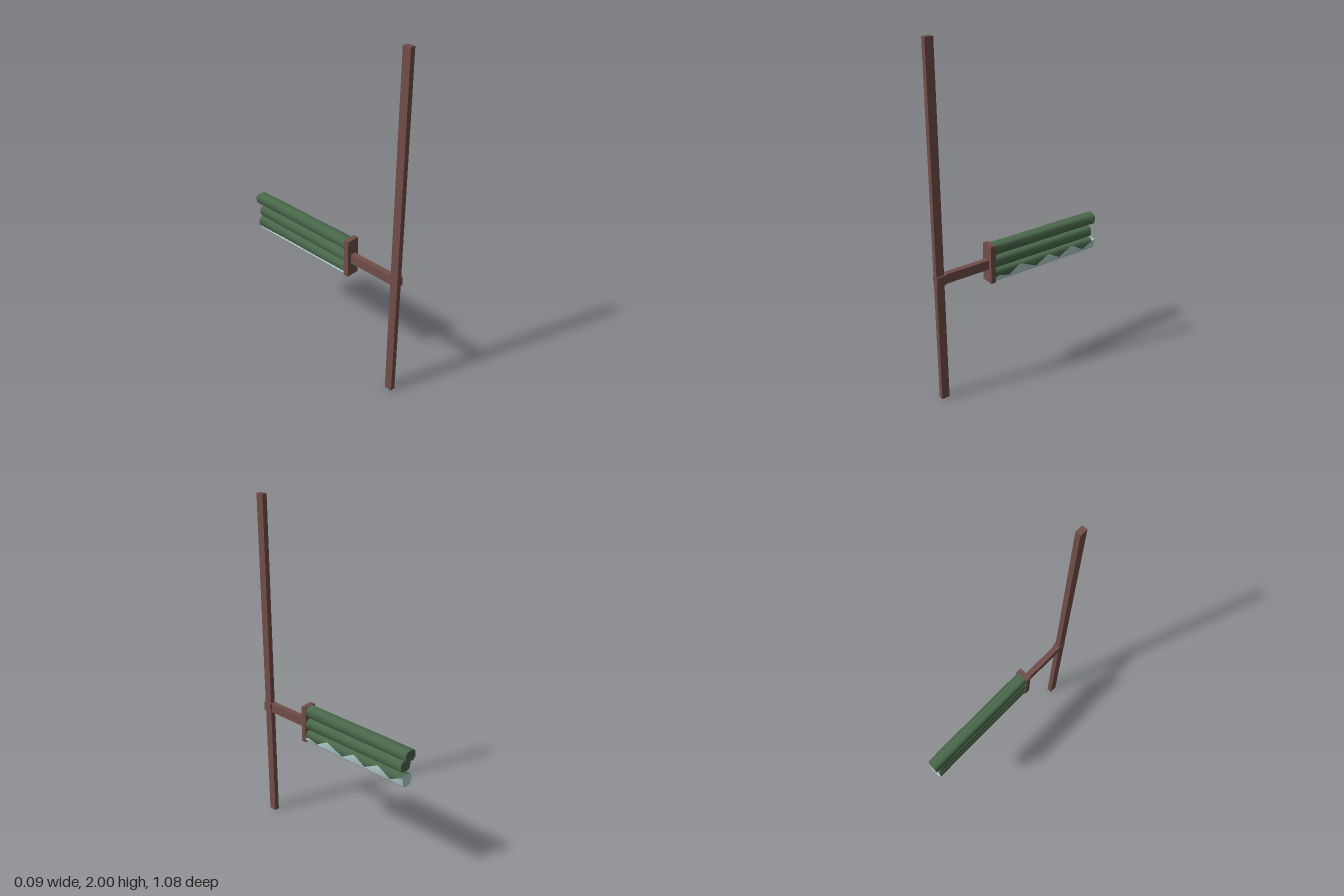
import * as THREE from 'three';

const wood = new THREE.MeshStandardMaterial({ color: 0x724e4a });
wood.name = 'brown wood';
const green = new THREE.MeshStandardMaterial({ color: 0x4b694c, side: THREE.DoubleSide });
green.name = 'dark green';
const pale = new THREE.MeshStandardMaterial({ color: 0xb9d6d5, side: THREE.DoubleSide });
pale.name = 'pale ice';

function add(group, name, geometry, material) {
  const mesh = new THREE.Mesh(geometry, material);
  mesh.name = name;
  group.add(mesh);
  return mesh;
}

// Box from its lower and upper corners
function box(group, name, [x0, y0, z0], [x1, y1, z1]) {
  const mesh = add(group, name, new THREE.BoxGeometry(x1 - x0, y1 - y0, z1 - z0), wood);
  mesh.position.set((x0 + x1) / 2, (y0 + y1) / 2, (z0 + z1) / 2);
}

function surface(points, index) {
  const g = new THREE.BufferGeometry();
  g.setAttribute('position', new THREE.Float32BufferAttribute(points.flat(), 3));
  g.setIndex(index);
  g.computeVertexNormals();
  return g;
}

// Smooth skin through cross-sections that run from front to back
function loft(sections, closed) {
  const n = sections[0].length;
  const index = [];
  for (let s = 0; s < sections.length - 1; s++) {
    for (let i = 0; i < (closed ? n : n - 1); i++) {
      const a = s * n + i, b = s * n + (i + 1) % n;
      index.push(a, a + n, b, b, a + n, b + n);
    }
  }
  return surface(sections.flat(), index);
}

// Flat fan closing the back end of a skin
function backCap(ring) {
  const n = ring.length;
  const centre = [0, 1, 2].map(k => ring.reduce((sum, p) => sum + p[k], 0) / n);
  const index = [];
  for (let i = 0; i < n; i++) index.push(n, (i + 1) % n, i);
  return surface([...ring, centre], index);
}

// Softly squared log section, counter-clockwise from the front
const profile = [
  [1, -0.5], [1, 0.5], [0.6, 0.95], [-0.6, 1],
  [-1, 0.5], [-1, -0.5], [-0.6, -1], [0.6, -0.95],
];

function logRing(y, z, wobble, slope) {
  return profile.map(([px, py]) => [
    -0.007 + 0.0345 * px + wobble * 0.5, y + 0.032 * py + wobble, z + slope * px,
  ]);
}

export function createModel() {
  const model = new THREE.Group();

  // Upright, bracket and end plate
  box(model, 'pole', [-0.022, 0, 0.492], [0.008, 2, 0.538]);
  box(model, 'arm', [-0.023, 0.714, 0.19], [0.009, 0.769, 0.538]);
  box(model, 'poleCollar', [-0.023, 0.714, 0.485], [0.018, 0.769, 0.54]);
  box(model, 'endPlate', [-0.046, 0.635, 0.182], [0.032, 0.857, 0.213]);

  // Three stacked green logs with uneven ends
  const logs = [
    { name: 'upperLog', y: 0.822, end: -0.532, cap: green },
    { name: 'middleLog', y: 0.746, end: -0.504, cap: green },
    { name: 'lowerLog', y: 0.671, end: -0.515, cap: pale },
  ];
  logs.forEach(({ name, y, end, cap }, k) => {
    const rings = [0.19, -0.05, -0.33, end].map((z, s) =>
      logRing(y, z, [0.002, 0, 0.001, -0.002][s] * (k === 1 ? -0.5 : 1), s === 3 ? 0.004 : 0));
    add(model, name, loft(rings, true), green);
    add(model, name + 'End', backCap(rings[3]), cap);
  });

  // Pale jagged sheet wrapped under the lower log and up its left side
  const teeth = [
    [0.182, 0.664], [0.16, 0.672], [0.095, 0.655], [0.016, 0.701], [-0.095, 0.652],
    [-0.18, 0.701], [-0.26, 0.656], [-0.35, 0.704], [-0.434, 0.655], [-0.522, 0.704],
  ];
  const sheet = teeth.map(([z, top]) => {
    const flare = z < -0.5 ? 0.011 : 0;
    return [
      [-0.034, 0.636, z], [-0.005, 0.634, z], [0.018, 0.635, z],
      [0.03, 0.648, z], [0.031 + flare, top, z],
    ];
  });
  add(model, 'jaggedSheet', loft(sheet, false), pale);

  // Pale face closing the end of the sheet
  const last = sheet[sheet.length - 1];
  add(model, 'sheetEnd', backCap([...last, [-0.038, 0.698, -0.518]]), pale);

  return model;
}
